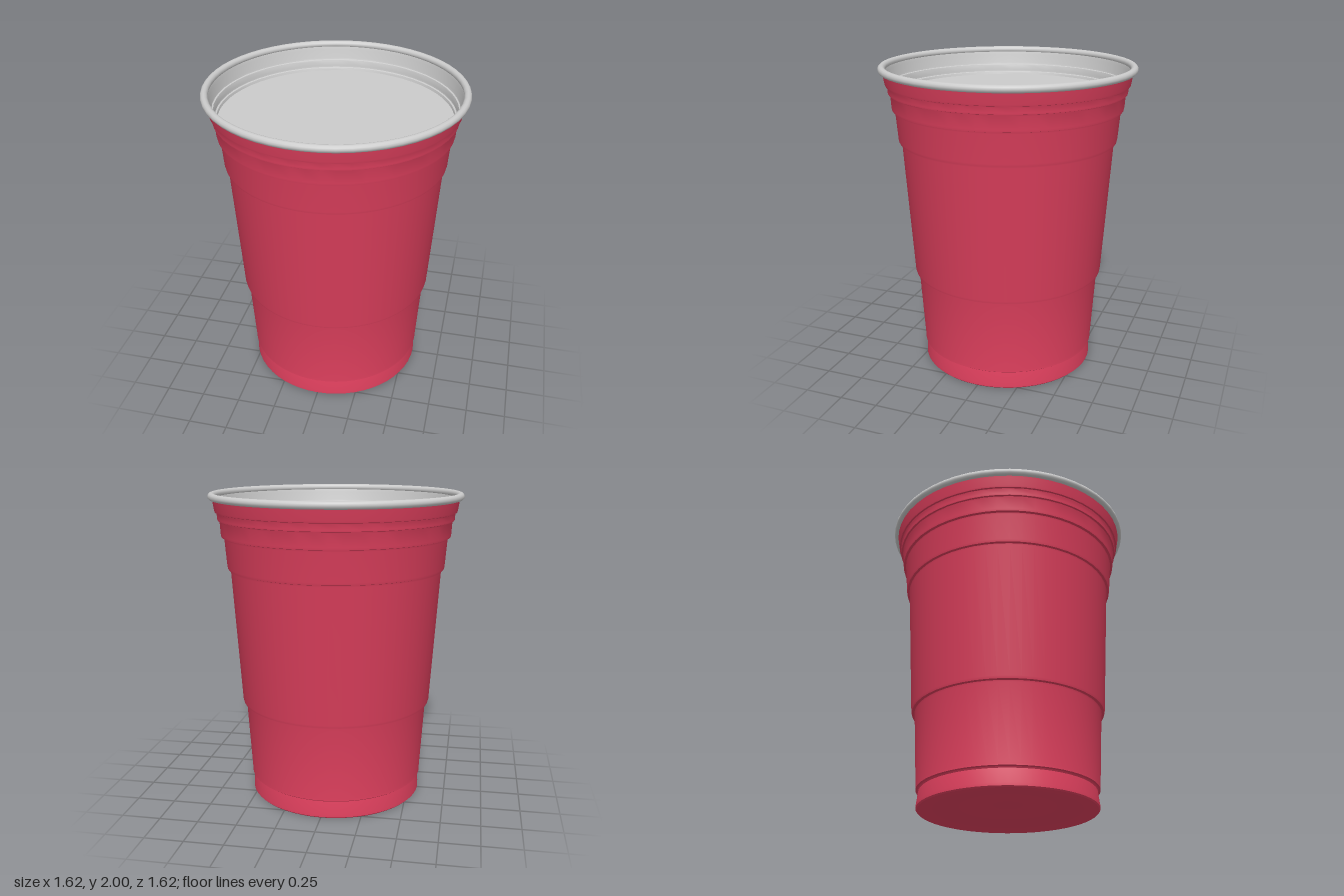
import * as THREE from 'three';
import { toCreasedNormals } from 'three/addons/utils/BufferGeometryUtils.js';

const SEGMENTS = 56;
const red = new THREE.MeshStandardMaterial({ color: 0xe0405e });
const grey = new THREE.MeshStandardMaterial({ color: 0xcccccc });

// Revolve [radius, height] pairs; rising profiles face out, falling ones face in
function revolve(name, profile, material) {
  const points = profile.map(([r, y]) => new THREE.Vector2(r, y));
  const geometry = toCreasedNormals(new THREE.LatheGeometry(points, SEGMENTS), 0.5);
  const mesh = new THREE.Mesh(geometry, material);
  mesh.name = name;
  return mesh;
}

export function createModel() {
  const cup = new THREE.Group();
  cup.name = 'cup';

  // Underside with a shallow stepped recess
  const underside = [
    [0, 0.045], [0.2, 0.045], [0.22, 0.035], [0.36, 0.03],
    [0.42, 0.015], [0.52, 0.012], [0.545, 0], [0.56, 0],
  ];

  // Stepped outer wall, from the foot to just under the rim
  const wall = [
    [0.568, 0.008], [0.568, 0.025], [0.557, 0.112], [0.562, 0.12], [0.574, 0.124], [0.574, 0.14],
    [0.603, 0.615], [0.606, 0.626], [0.622, 0.63], [0.626, 0.645],
    [0.681, 1.505], [0.684, 1.516], [0.698, 1.52], [0.702, 1.535],
    [0.716, 1.712], [0.719, 1.722], [0.734, 1.726], [0.737, 1.74],
    [0.742, 1.82], [0.745, 1.827], [0.755, 1.83], [0.757, 1.84],
    [0.758, 1.87], [0.761, 1.877], [0.77, 1.88], [0.773, 1.89],
    [0.782, 1.945], [0.787, 1.965],
  ];
  cup.add(revolve('outerShell', [...underside, ...wall], red));

  // Lining follows the wall at a constant thickness, down to the floor
  const thickness = 0.016;
  const lining = wall
    .filter(([, y]) => y > 0.1)
    .map(([r, y]) => [r - thickness, y])
    .reverse();
  cup.add(revolve('innerLining', [[0.775, 1.98], ...lining, [0.53, 0.06], [0, 0.06]], grey));

  // Rolled lip
  const lip = new THREE.Mesh(new THREE.TorusGeometry(0.789, 0.023, 12, SEGMENTS), grey);
  lip.name = 'rolledRim';
  lip.rotation.x = Math.PI / 2;
  lip.position.y = 1.977;
  cup.add(lip);

  // Flat surface of the contents
  const fill = new THREE.Mesh(new THREE.CircleGeometry(0.734, SEGMENTS), grey);
  fill.name = 'liquidSurface';
  fill.rotation.x = -Math.PI / 2;
  fill.position.y = 1.81;
  cup.add(fill);

  return cup;
}
